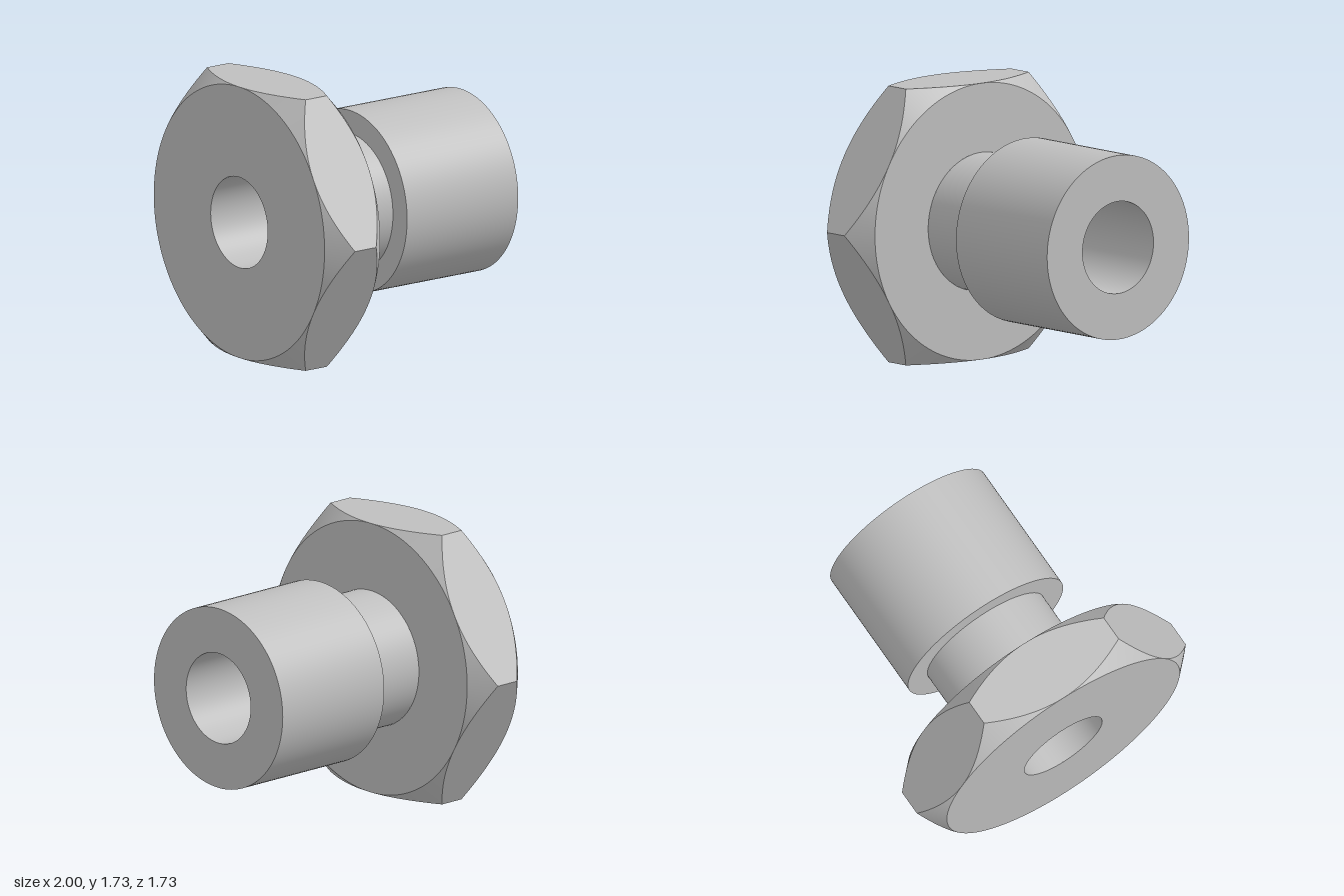
import * as THREE from 'three';
import { toCreasedNormals } from 'three/addons/utils/BufferGeometryUtils.js';

const APOTHEM = 0.866, BORE = 0.289, NECK = 0.433, BARREL = 0.577;
const BACK = -0.866, STEP = 0, HEX_BACK = 0.433, FRONT = 0.866;
const CREASE = 0.5;

// Revolve [radius, z] points about the z axis
function turned(points, segments = 96) {
  const g = new THREE.LatheGeometry(points.map(([r, z]) => new THREE.Vector2(r, z)), segments);
  g.rotateX(Math.PI / 2);
  return toCreasedNormals(g, CREASE);
}

// Hexagonal head whose corners are cut by a 45 degree cone on both faces
function hexHead(segments = 144) {
  const section = (i) => {
    const a = (i / segments) * Math.PI * 2;
    const sector = Math.PI / 3;
    const local = (a % sector) - sector / 2;
    const R = Math.max(APOTHEM, APOTHEM / Math.cos(local));
    const cut = R - APOTHEM;
    return [
      [NECK, HEX_BACK], [APOTHEM, HEX_BACK], [R, HEX_BACK + cut],
      [R, FRONT - cut], [APOTHEM, FRONT], [BORE, FRONT],
    ].map(([r, z]) => new THREE.Vector3(r * Math.cos(a), r * Math.sin(a), z));
  };
  const positions = [];
  const tri = (a, b, c) => {
    const n = b.clone().sub(a).cross(c.clone().sub(a));
    if (n.length() > 1e-9) for (const p of [a, b, c]) positions.push(p.x, p.y, p.z);
  };
  for (let i = 0; i < segments; i++) {
    const s = section(i), t = section((i + 1) % segments);
    for (let j = 0; j < s.length - 1; j++) {
      tri(s[j], t[j], t[j + 1]);
      tri(s[j], t[j + 1], s[j + 1]);
    }
  }
  const g = new THREE.BufferGeometry();
  g.setAttribute('position', new THREE.Float32BufferAttribute(positions, 3));
  return toCreasedNormals(g, CREASE);
}

export function createModel() {
  const model = new THREE.Group();
  model.name = 'hexFitting';
  const steel = new THREE.MeshStandardMaterial({ color: 0xbfbfbf });
  steel.name = 'grey metal';

  const add = (name, geometry) => {
    const mesh = new THREE.Mesh(geometry, steel);
    mesh.name = name;
    mesh.position.y = APOTHEM;
    model.add(mesh);
  };

  add('hexHead', hexHead());
  add('neck', turned([[NECK, STEP], [NECK, HEX_BACK]]));
  // Barrel with its two end rings
  add('barrel', turned([[BORE, BACK], [BARREL, BACK], [BARREL, STEP], [NECK, STEP]]));
  // Through hole, facing inward
  add('bore', turned([[BORE, FRONT], [BORE, BACK]]));

  return model;
}
